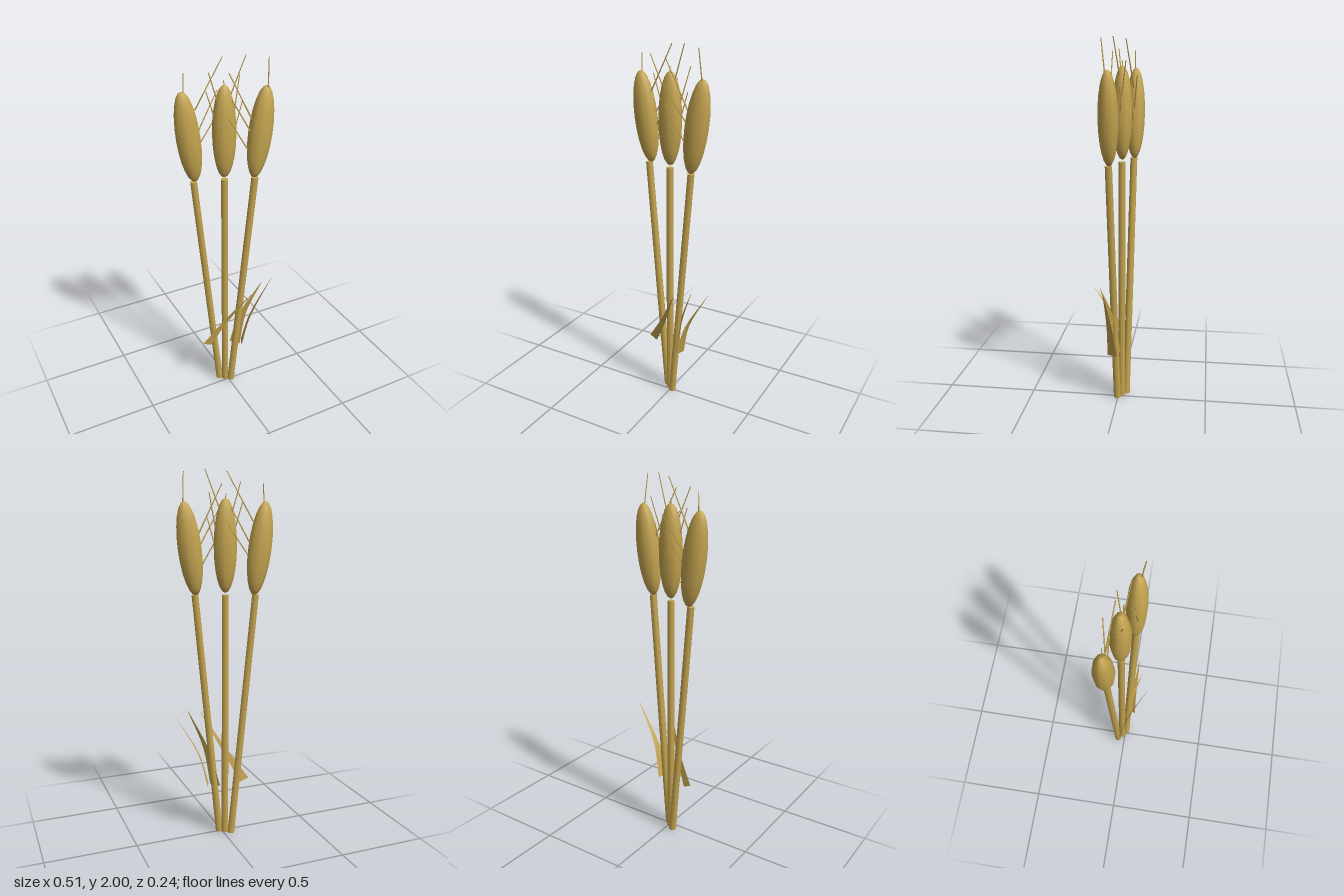
import * as THREE from 'three';

const V = (p) => new THREE.Vector3(...p);
const UP = new THREE.Vector3(0, 1, 0);

export function createModel() {
  const root = new THREE.Group();
  root.name = 'reeds';
  const straw = new THREE.MeshStandardMaterial({ color: 0xc4a44f });
  straw.name = 'straw';
  straw.side = THREE.DoubleSide;

  const add = (geometry, name, parent = root) => {
    const mesh = new THREE.Mesh(geometry, straw);
    mesh.name = name;
    parent.add(mesh);
    return mesh;
  };

  // straight rod between two points
  const rod = (a, b, rTop, rBottom, sides, name, parent) => {
    const from = V(a), to = V(b), dir = to.clone().sub(from);
    const mesh = add(new THREE.CylinderGeometry(rTop, rBottom, dir.length(), sides), name, parent);
    mesh.position.copy(from).add(to).multiplyScalar(0.5);
    mesh.quaternion.setFromUnitVectors(UP, dir.normalize());
  };

  // tapering leaf swept along a bent path, starting wide and ending in a point
  const leaf = (base, mid, tip, across, width) => {
    const curve = new THREE.CatmullRomCurve3([base, mid, tip].map(V));
    const side = V(across).normalize();
    const n = 8, pos = [], idx = [];
    for (let i = 0; i <= n; i++) {
      const t = i / n;
      const p = curve.getPoint(t);
      const half = (width / 2) * (1 - 0.95 * t);
      for (const s of [-1, 1]) pos.push(...p.clone().addScaledVector(side, s * half).toArray());
      if (i < n) {
        const k = i * 2;
        idx.push(k, k + 1, k + 2, k + 1, k + 3, k + 2);
      }
    }
    const g = new THREE.BufferGeometry();
    g.setAttribute('position', new THREE.Float32BufferAttribute(pos, 3));
    g.setIndex(idx);
    g.computeVertexNormals();
    add(g, 'leaf');
  };

  // stems, seed heads and their bristles
  const reeds = [
    {
      name: 'rightReed', foot: [-0.04, 0, -0.042], top: [-0.167, 1.36, -0.065],
      head: [-0.187, 1.6, -0.07], tilt: 0.13,
      awns: [
        [[-0.21, 1.74, -0.068], [-0.205, 1.93, -0.066]],
        [[-0.15, 1.74, -0.065], [-0.013, 1.99, -0.038]],
        [[-0.15, 1.6, -0.065], [-0.013, 1.81, -0.097]],
        [[-0.15, 1.53, -0.065], [-0.013, 1.72, -0.066]],
      ],
    },
    {
      name: 'middleReed', foot: [-0.013, 0, -0.018], top: [-0.013, 1.36, -0.018],
      head: [-0.013, 1.615, -0.02], tilt: 0,
      awns: [
        [[-0.013, 1.8, -0.02], [-0.015, 1.88, -0.02]],
        [[-0.03, 1.72, -0.02], [-0.11, 1.94, 0.01]],
        [[-0.05, 1.65, -0.02], [-0.11, 1.84, -0.02]],
        [[0.0, 1.76, -0.015], [0.085, 2.0, 0.015]],
        [[0.03, 1.65, -0.015], [0.087, 1.885, -0.05]],
        [[0.03, 1.57, -0.02], [0.087, 1.76, -0.02]],
      ],
    },
    {
      name: 'leftReed', foot: [0.014, 0, 0.004], top: [0.138, 1.36, 0.033],
      head: [0.165, 1.6, 0.03], tilt: -0.13,
      awns: [
        [[0.2, 1.77, 0.035], [0.185, 1.99, 0.06]],
        [[0.12, 1.67, 0.03], [-0.013, 1.93, 0.03]],
        [[0.125, 1.59, 0.03], [-0.013, 1.81, 0.06]],
        [[0.12, 1.48, 0.03], [-0.013, 1.7, 0.032]],
      ],
    },
  ];
  for (const r of reeds) {
    const reed = new THREE.Group();
    reed.name = r.name;
    root.add(reed);
    rod(r.foot, r.top, 0.019, 0.02, 8, 'stem', reed);
    const head = add(new THREE.SphereGeometry(1, 10, 12), 'seedHead', reed);
    head.scale.set(0.065, 0.244, 0.0526);
    head.position.set(...r.head);
    head.rotation.z = r.tilt;
    for (const [a, b] of r.awns) rod(a, b, 0.0025, 0.004, 4, 'bristle', reed);
  }

  // leaves at the lower stems
  leaf([-0.128, 0.3, -0.025], [-0.03, 0.47, 0.025], [0.08, 0.68, 0.117], [0.9, -0.4, 0.1], 0.052);
  leaf([0.036, 0.28, 0.01], [0.085, 0.5, 0.025], [0.17, 0.71, 0.075], [0.6, 0, 0.75], 0.065);
  leaf([0.073, 0.28, 0.025], [0.125, 0.47, 0.035], [0.255, 0.7, 0.047], [0.4, 0, -0.9], 0.06);

  return root;
}
